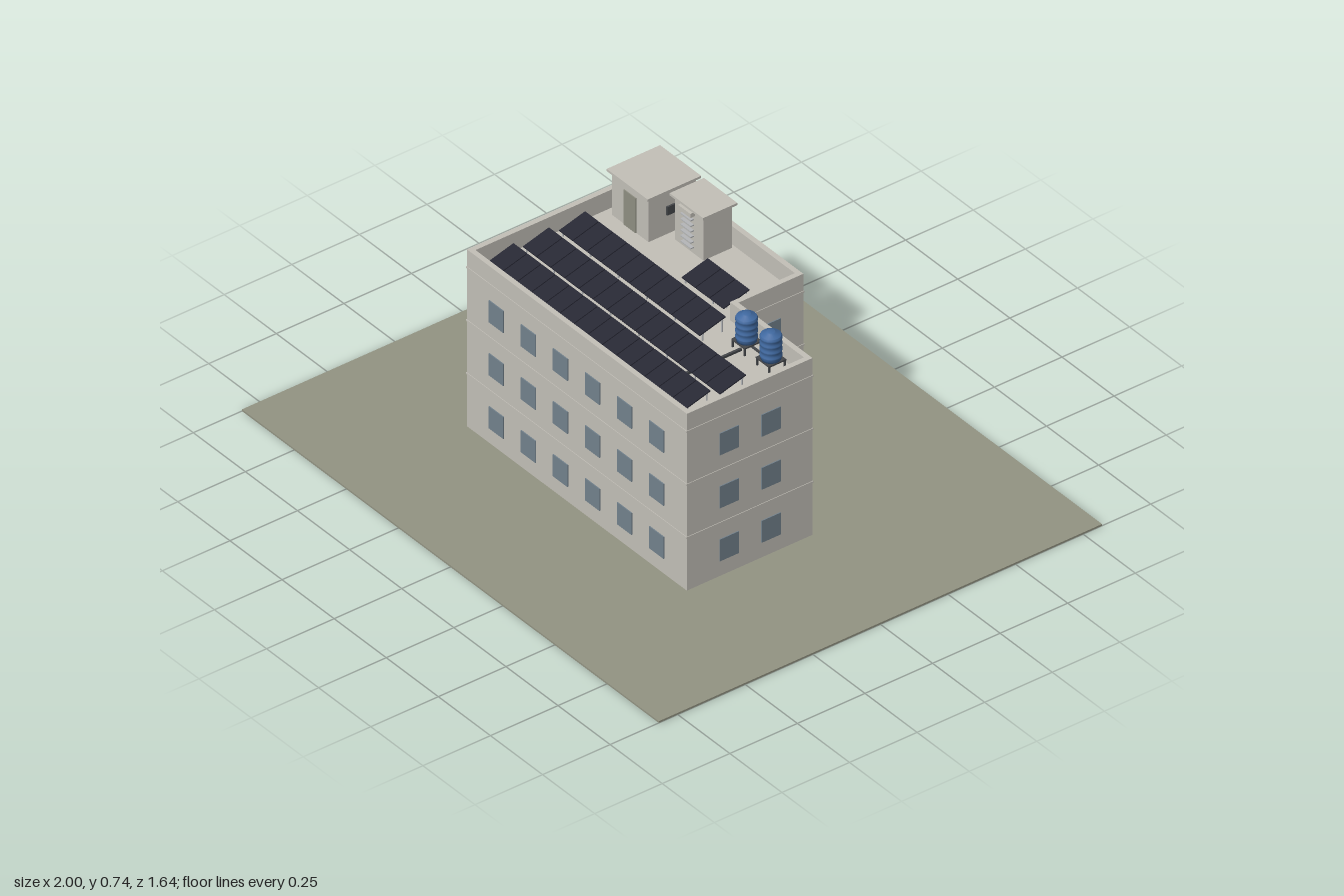
import * as THREE from 'three';

const mat = (name, color) => {
  const m = new THREE.MeshStandardMaterial({ color });
  m.name = name;
  return m;
};

export function createModel() {
  const wall = mat('wall plaster', 0xc2bfb7);
  const ground = mat('ground', 0x929382);
  const glass = mat('window glass', 0x72818c);
  const panelBlue = mat('solar panel', 0x262733);
  const metal = mat('light metal', 0xb4b6b8);
  const dark = mat('dark metal', 0x45474a);
  const tankBlue = mat('tank blue', 0x3f689f);
  const doorGrey = mat('door', 0x8f8f82);

  const model = new THREE.Group();
  model.name = 'apartmentBlock';

  const add = (name, geo, material, x = 0, y = 0, z = 0, parent = model) => {
    const mesh = new THREE.Mesh(geo, material);
    mesh.name = name;
    mesh.position.set(x, y, z);
    parent.add(mesh);
    return mesh;
  };
  // box given by its minimum and maximum corners
  const box = (name, material, [x0, y0, z0], [x1, y1, z1], parent = model) =>
    add(name, new THREE.BoxGeometry(x1 - x0, y1 - y0, z1 - z0), material,
      (x0 + x1) / 2, (y0 + y1) / 2, (z0 + z1) / 2, parent);
  const group = (name, x = 0, y = 0, z = 0) => {
    const g = new THREE.Group();
    g.name = name;
    g.position.set(x, y, z);
    model.add(g);
    return g;
  };

  // Levels and L-shaped footprint
  const BASE = 0.006, FLOOR = 0.19, ROOF = 0.575, TOP = 0.64;
  const L = -0.53, R = 0.525, F = 0.35, B = -0.355, NX = 0.17, NZ = -0.115;
  const outline = (d) => [
    [L + d, F - d], [R - d, F - d], [R - d, NZ + d],
    [NX - d, NZ + d], [NX - d, B + d], [L + d, B + d],
  ].map(([x, z]) => new THREE.Vector2(x, -z));
  const slab = (name, inset, y0, y1, hole) => {
    const shape = new THREE.Shape(outline(inset));
    if (hole) shape.holes.push(new THREE.Path(outline(hole)));
    const geo = new THREE.ExtrudeGeometry(shape, { depth: y1 - y0, bevelEnabled: false });
    geo.rotateX(-Math.PI / 2);
    add(name, geo, wall, 0, y0, 0);
  };

  box('ground', ground, [-1, 0, -0.82], [1, BASE, 0.82]);
  slab('building', 0, BASE, ROOF);
  slab('parapet', 0, ROOF, TOP, 0.018);
  for (let i = 1; i <= 3; i++) {
    const y = BASE + i * FLOOR;
    slab('floorBand', -0.002, y - 0.003, y + 0.003, 0.001);
  }

  // Windows, evenly spaced along each wall on all three floors
  const windows = group('windows');
  const windowRow = (from, to, count, at, alongX) => {
    for (let f = 0; f < 3; f++) {
      for (let i = 1; i <= count; i++) {
        const p = from + ((to - from) * i) / (count + 1);
        const y = 0.1 + f * FLOOR;
        if (alongX) add('window', new THREE.BoxGeometry(0.07, 0.078, 0.007), glass, p, y, at, windows);
        else add('window', new THREE.BoxGeometry(0.007, 0.078, 0.07), glass, at, y, p, windows);
      }
    }
  };
  windowRow(-0.54, 0.536, 6, F, true);
  windowRow(L, NX, 4, B, true);
  windowRow(NX, R, 2, NZ, true);
  windowRow(B, F, 4, L, false);
  windowRow(NZ, F, 2, R, false);
  windowRow(B, NZ, 1, NX, false);

  // Stair house with cap, door, lamp and vent
  const stair = group('stairHouse');
  box('stairWalls', wall, [-0.483, ROOF, -0.326], [-0.307, 0.73, -0.15], stair);
  box('stairCap', wall, [-0.494, 0.73, -0.337], [-0.297, 0.738, -0.139], stair);
  box('stairDoor', doorGrey, [-0.424, ROOF, -0.151], [-0.366, 0.7, -0.147], stair);
  box('sideVent', dark, [-0.308, 0.645, -0.245], [-0.301, 0.675, -0.215], stair);
  box('backVent', wall, [-0.487, 0.68, -0.255], [-0.481, 0.7, -0.22], stair);

  // Lift house with cap, hood and ladder
  const lift = group('liftHouse');
  box('liftWalls', wall, [-0.272, ROOF, -0.326], [-0.135, 0.73, -0.22], lift);
  box('liftCap', wall, [-0.284, 0.73, -0.337], [-0.123, 0.738, -0.21], lift);
  box('hood', wall, [-0.235, 0.712, -0.222], [-0.175, 0.727, -0.203], lift);
  for (let i = 0; i < 6; i++) {
    const y = 0.595 + i * 0.02;
    box('rung', metal, [-0.23, y, -0.221], [-0.18, y + 0.004, -0.208], lift);
  }

  // Tilted solar panels on legs, lower edge to the front
  const PITCH = 0.0677, DEPTH = 0.1, TILT = 0.27;
  const panelRow = (x0, z, count) => {
    const row = group('solarRow', x0, 0.612, z);
    for (let i = 0; i < count; i++) {
      const x = (i + 0.5) * PITCH;
      const panel = add('panel', new THREE.BoxGeometry(PITCH - 0.003, 0.004, DEPTH), panelBlue, x, 0, 0, row);
      panel.rotation.x = TILT;
    }
    for (let i = 0; i <= count; i += 2) {
      const x = THREE.MathUtils.clamp(i * PITCH, 0.004, count * PITCH - 0.004);
      for (const s of [-1, 1]) {
        const dz = s * 0.036, h = 0.612 - ROOF - dz * Math.tan(TILT) - 0.002;
        add('leg', new THREE.BoxGeometry(0.004, h, 0.004), metal, x, ROOF - 0.612 + h / 2, dz, row);
      }
    }
    for (const s of [-1, 1]) {
      const dz = s * 0.036;
      add('rail', new THREE.BoxGeometry(count * PITCH, 0.003, 0.004), metal,
        count * PITCH / 2, -dz * Math.tan(TILT) - 0.004, dz, row);
    }
  };
  panelRow(-0.488, 0.259, 14);
  panelRow(-0.488, 0.128, 14);
  panelRow(-0.488, -0.006, 10);
  panelRow(-0.08, -0.145, 3);

  // Ribbed water tanks on four-legged stands
  const r = 0.031;
  const profile = [[0, 0], [r, 0]];
  for (let i = 0; i < 4; i++) {
    const y = 0.008 + i * 0.021;
    profile.push([r, y], [r + 0.003, y + 0.004], [r + 0.003, y + 0.009], [r, y + 0.013]);
  }
  profile.push([r, 0.086], [0.014, 0.093], [0.012, 0.097], [0, 0.097]);
  const tankGeo = new THREE.LatheGeometry(profile.map(([x, y]) => new THREE.Vector2(x, y)), 20);
  for (const x of [0.293, 0.41]) {
    const tank = group('waterTank', x, ROOF, -0.05);
    add('tankBody', tankGeo, tankBlue, 0, 0.029, 0, tank);
    add('standTop', new THREE.BoxGeometry(0.064, 0.005, 0.064), dark, 0, 0.0265, 0, tank);
    for (const sx of [-1, 1]) for (const sz of [-1, 1])
      add('standLeg', new THREE.BoxGeometry(0.005, 0.026, 0.005), dark, sx * 0.029, 0.013, sz * 0.029, tank);
  }

  // Water pipes along the roof
  box('pipe', dark, [0.289, ROOF, -0.03], [0.297, 0.583, 0.18]);
  box('pipe', dark, [0.2, ROOF, 0.172], [0.297, 0.583, 0.18]);
  box('pipe', dark, [0.293, 0.59, -0.054], [0.41, 0.596, -0.048]);

  // Roof drains in the corners
  for (const [x, z] of [[-0.497, -0.322], [-0.497, 0.315], [0.492, 0.315]])
    add('drain', new THREE.CylinderGeometry(0.008, 0.008, 0.006, 10), dark, x, ROOF + 0.003, z);

  return model;
}
